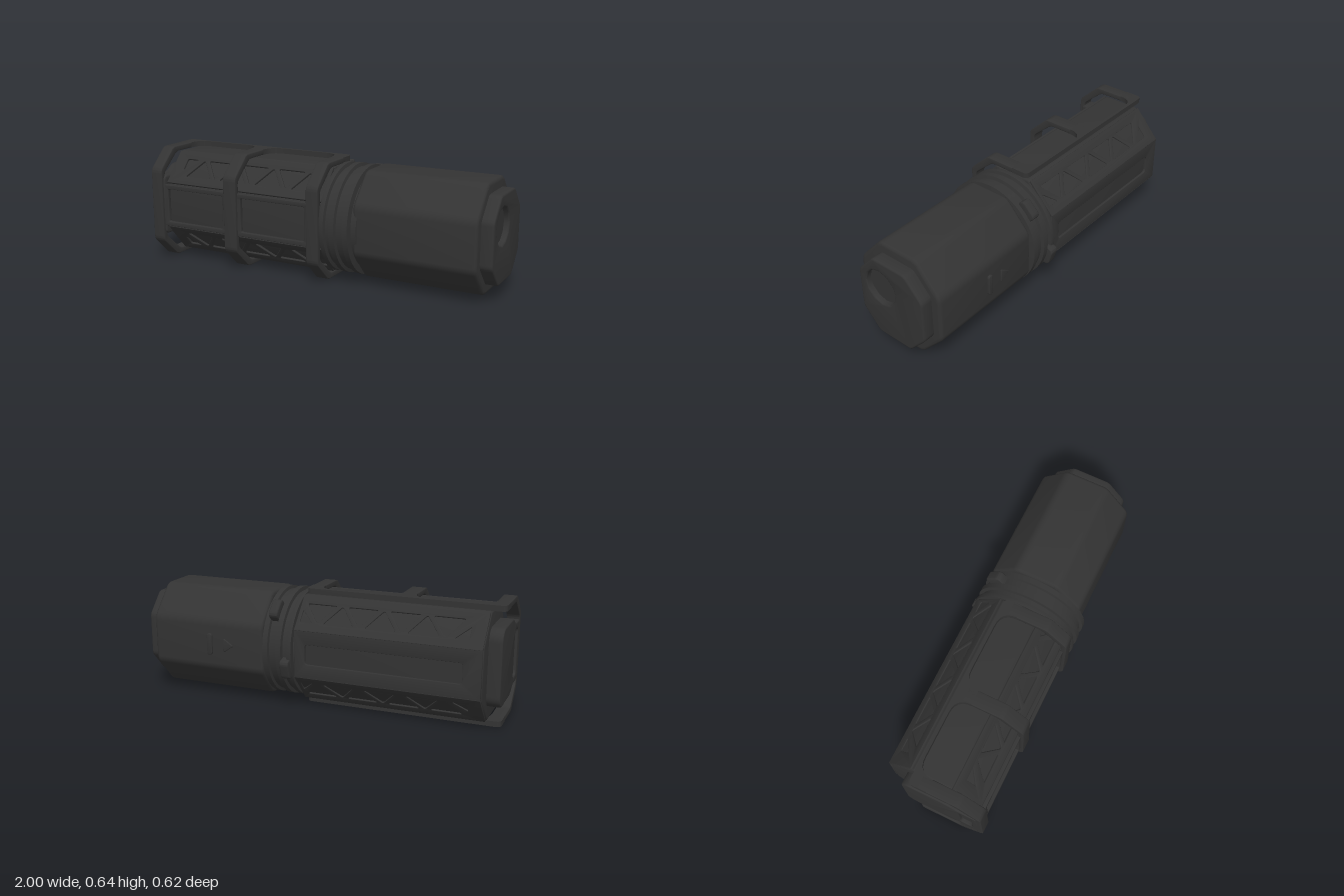
import * as THREE from 'three';
import { toCreasedNormals } from 'three/addons/utils/BufferGeometryUtils.js';

const CY = 0.32; // height of the long axis
const material = new THREE.MeshStandardMaterial({ color: 0x333333 });

// closed outline with softened corners
function outline(pts, r = 0, Type = THREE.Shape) {
  const s = new Type();
  const v = pts.map(([x, y]) => new THREE.Vector2(x, y));
  v.forEach((p, i) => {
    const toward = (q) => {
      const d = q.clone().sub(p);
      return p.clone().add(d.setLength(Math.min(r, d.length() * 0.49)));
    };
    const a = toward(v[(i + v.length - 1) % v.length]);
    const b = toward(v[(i + 1) % v.length]);
    if (i === 0) s.moveTo(a.x, a.y); else s.lineTo(a.x, a.y);
    if (r > 0) s.quadraticCurveTo(p.x, p.y, b.x, b.y);
  });
  s.closePath();
  return s;
}

const rect = (x0, x1, y0, y1) => [[x0, y0], [x1, y0], [x1, y1], [x0, y1]];

// octagon: half width, half height and the two chamfer cuts
function octagon(w, h, cw, ch) {
  return [[w - cw, -h], [w, -h + ch], [w, h - ch], [w - cw, h],
    [-w + cw, h], [-w, h - ch], [-w, -h + ch], [-w + cw, -h]];
}

function extrude(shape, depth, bevel = 0) {
  const g = new THREE.ExtrudeGeometry(shape, {
    depth: depth - 2 * bevel, curveSegments: 6, bevelEnabled: bevel > 0,
    bevelThickness: bevel, bevelSize: bevel, bevelOffset: -bevel, bevelSegments: 3,
  });
  return g.translate(0, 0, bevel);
}

// section drawn in (-z, y), run along x from x0 to x1
function alongX(shape, x0, x1, bevel = 0) {
  return extrude(shape, x1 - x0, bevel).rotateY(Math.PI / 2).translate(x0, 0, 0);
}

export function createModel() {
  const model = new THREE.Group();
  const add = (name, geo, parent = model) => {
    const m = new THREE.Mesh(toCreasedNormals(geo, 0.6), material);
    m.name = name;
    parent.add(m);
    return m;
  };

  // cap and its end plate with a round recess
  add('cap', alongX(outline(octagon(0.265, 0.29, 0.145, 0.16), 0.03), 0.265, 0.935, 0.018).translate(0, CY, 0));
  const endShape = outline(octagon(0.213, 0.233, 0.105, 0.115), 0.02);
  endShape.holes.push(new THREE.Path().absarc(-0.067, 0.07, 0.1, 0, Math.PI * 2, true));
  add('capEndPlate', alongX(endShape, 0.925, 1, 0.01).translate(0, CY, 0));
  add('capRecessFloor', new THREE.CylinderGeometry(0.103, 0.103, 0.04, 40)
    .rotateZ(-Math.PI / 2).translate(0.95, CY + 0.07, 0.067));

  // raised marks on the back of the cap
  add('capBarMark', extrude(outline(rect(0.57, 0.6, CY - 0.06, CY + 0.06), 0.014), 0.02, 0.004).translate(0, 0, -0.278));
  add('capArrowMark', extrude(outline([[0.44, CY], [0.5, CY - 0.04], [0.5, CY + 0.04]], 0.008), 0.02, 0.004).translate(0, 0, -0.272));

  // threaded neck with stepped rings
  const neck = [[0.2, 0.06], [0.27, 0.06], [0.27, 0.088], [0.298, 0.09], [0.3, 0.1], [0.298, 0.115],
    [0.28, 0.12], [0.28, 0.145], [0.3, 0.148], [0.3, 0.178], [0.282, 0.183], [0.282, 0.222],
    [0.298, 0.226], [0.298, 0.255], [0.265, 0.26], [0.265, 0.29], [0.2, 0.29]];
  add('neckRings', new THREE.LatheGeometry(neck.map((p) => new THREE.Vector2(...p)), 72)
    .rotateZ(-Math.PI / 2).translate(0, CY, 0.01));

  // lock lugs on the neck
  [[0.205, 0.535, -0.205, 0.79], [0.12, 0.236, -0.275, -0.3]].forEach(([x, y, z, tilt]) => {
    const lug = add('neckLug', extrude(outline([[-0.035, -0.055], [0.018, -0.055], [0.03, -0.04],
      [0.03, 0.04], [0.018, 0.055], [-0.035, 0.055]], 0.01), 0.05, 0.006)
      .translate(0, 0, -0.025).rotateY(Math.PI / 2));
    lug.rotation.x = tilt;
    lug.position.set(x, y, z);
  });

  // body core, sunk under the chamfers and the back
  const d = 0.012, e = 0.016;
  const core = [[0.12 - e, -0.29], [0.262 - d, -0.138], [0.262 - d, 0.138], [0.12 - e, 0.29],
    [-0.12 + e, 0.29], [-0.262, 0.13 - e], [-0.262, -0.13 + e], [-0.12 + e, -0.29]];
  add('bodyCore', alongX(outline(core, 0.006), -0.93, 0.085, 0.012).translate(0, CY, 0));

  // chamfer plates pierced by a row of alternating triangles
  for (const sy of [1, -1]) for (const sz of [1, -1]) {
    const plate = outline(rect(-0.925, 0.08, -0.108, 0.108), 0.004);
    const step = 0.115, h = 0.058;
    for (let i = 0; i < 7; i++) {
      const c = -0.73 + i * step, up = (i % 2 ? -1 : 1) * sy;
      plate.holes.push(outline([[c - 0.085, -h * up], [c + 0.085, -h * up], [c, h * up]], 0.014, THREE.Path));
    }
    // half triangles close both ends of the row
    plate.holes.push(outline([[-0.85, h * sy], [-0.775, h * sy], [-0.85, -h * sy * 0.3]], 0.01, THREE.Path));
    plate.holes.push(outline([[0.06, h * sy], [-0.01, h * sy], [0.06, -h * sy * 0.3]], 0.01, THREE.Path));
    const m = add('trussPlate', extrude(plate, d + 0.002, 0.002).translate(0, 0, -d - 0.002));
    m.position.set(0, CY + sy * 0.21, sz * 0.191);
    m.rotation.x = Math.atan2(-sy * 0.145, sz * 0.16);
  }

  // back plate with a long slot
  const back = outline(rect(-0.925, 0.08, -0.13, 0.13), 0.004);
  back.holes.push(outline(rect(-0.83, 0.02, -0.055, 0.055), 0.02, THREE.Path));
  const backPlate = add('backPlate', extrude(back, d + 0.002, 0.002).translate(0, 0, -d - 0.002));
  backPlate.position.set(0, CY, -0.262);
  backPlate.rotation.x = Math.PI;

  // framed plate on the front, behind the clips
  const front = outline(rect(-0.93, 0.08, 0.2, 0.44), 0.01);
  for (const [a, b] of [[-0.9, -0.53], [-0.41, -0.01]]) {
    front.holes.push(outline(rect(a, b, 0.225, 0.415), 0.01, THREE.Path));
  }
  add('frontFrame', extrude(front, 0.022, 0.003).translate(0, 0, 0.262));

  // bracket: three C-shaped clips around the front
  const bracket = new THREE.Group();
  bracket.name = 'bracket';
  model.add(bracket);
  const half = [[0.06, 0.32], [-0.18, 0.32], [-0.3, 0.205]];
  const inner = [[-0.27, 0.185], [-0.15, 0.29], [0.06, 0.29]];
  const flip = (pts) => pts.map(([a, b]) => [a, -b]).reverse();
  const clip = outline([...half, ...flip(half), ...flip(inner), ...inner], 0.022);
  for (const [x0, x1] of [[-1, -0.93], [-0.51, -0.43], [0.01, 0.08]]) {
    add('clip', alongX(clip, x0, x1, 0.004).translate(0, CY, 0), bracket);
  }

  // side rails joining the clips, with arched windows
  const rail = new THREE.Shape();
  const edge = -0.09, arch = -0.075, low = 0.01, r = 0.085;
  rail.moveTo(-1, low);
  rail.lineTo(-1, edge + 0.03);
  rail.quadraticCurveTo(-1, edge, -0.97, edge);
  rail.lineTo(0.05, edge);
  rail.quadraticCurveTo(0.08, edge, 0.08, edge + 0.03);
  rail.lineTo(0.08, low);
  for (const [a, b] of [[-0.43, 0.01], [-0.93, -0.51]]) {
    rail.lineTo(b, low);
    rail.quadraticCurveTo(b, arch, b - r, arch);
    rail.lineTo(a + r, arch);
    rail.quadraticCurveTo(a, arch, a, low);
  }
  rail.closePath();
  for (const y of [0.03, 0.64]) {
    add('sideRail', extrude(rail, 0.03).rotateX(Math.PI / 2).translate(0, y, 0), bracket);
  }

  // end plug tied to the end clip, with a slot in its face
  const plug = outline([[0.15, -0.17], [0.15, 0.17], [0.11, 0.21], [-0.12, 0.21], [-0.17, 0.17],
    [-0.285, 0.17], [-0.285, -0.17], [-0.17, -0.17], [-0.12, -0.21], [0.11, -0.21]], 0.03);
  plug.holes.push(outline(rect(-0.24, -0.17, -0.13, 0.13), 0.025, THREE.Path));
  add('endPlug', alongX(plug, -1, -0.92, 0.008).translate(0, CY, 0), bracket);
  add('endPlugFloor', new THREE.BoxGeometry(0.04, 0.28, 0.09).translate(-0.96, CY, 0.205), bracket);

  return model;
}
